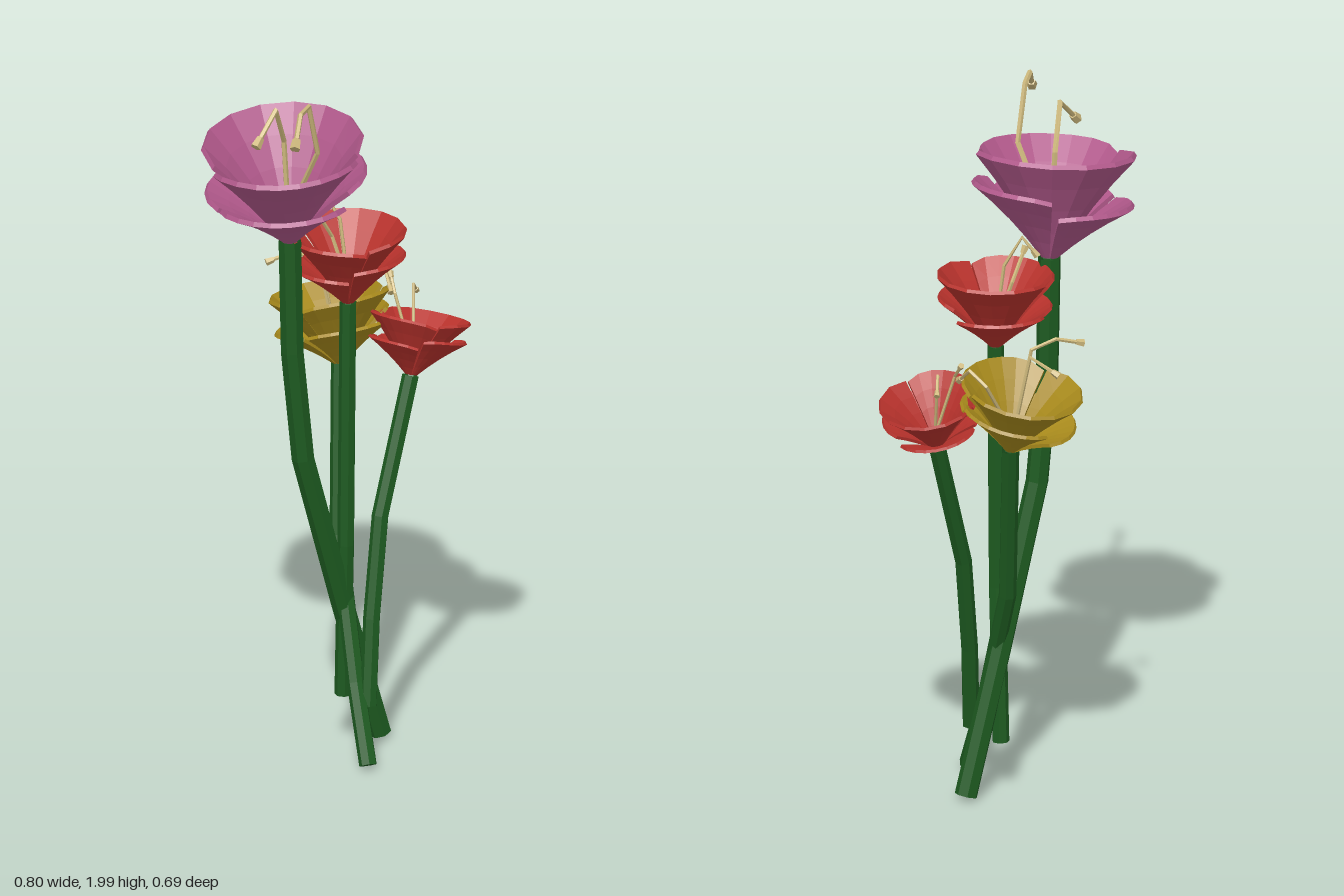
import * as THREE from 'three';

const mat = (color) => new THREE.MeshStandardMaterial({ color, flatShading: true, side: THREE.DoubleSide });
const GREEN = mat(0x1d5a20), CREAM = mat(0xcdb87c);
const RED = mat(0xb8322c), PINK = mat(0xb0588a), YELLOW = mat(0xa88a1c);
const UP = new THREE.Vector3(0, 1, 0);
const vec = (x, y, z) => new THREE.Vector3(x, y, z);

function add(parent, name, geometry, material) {
  const mesh = new THREE.Mesh(geometry, material);
  mesh.name = name;
  parent.add(mesh);
  return mesh;
}

// Faceted tube whose rings sit exactly on the given points
function rod(points, radius, sides) {
  const curve = new THREE.CatmullRomCurve3(points);
  curve.getPointAt = (u, target) => curve.getPoint(u, target);
  curve.getTangentAt = (u, target) => curve.getTangent(u, target);
  return new THREE.TubeGeometry(curve, points.length - 1, radius, sides, false);
}

// Fan-shaped petal: a thin sector of a flaring cone with rounded outer corners
function petalGeometry(azimuth, span, R, H) {
  const rows = 4, cols = 9, thick = 0.06 * R, pos = [], index = [];
  const section = [];
  for (let i = 0; i <= rows; i++) section.push([i / rows, 0]);
  for (let i = rows; i >= 0; i--) section.push([i / rows, thick]);
  for (let j = 0; j <= cols; j++) {
    const v = (j / cols) * 2 - 1, a = azimuth + (v * span) / 2;
    const reach = 1 - 0.08 * Math.pow(Math.abs(v), 5);
    for (const [t, lift] of section) {
      const s = t * reach;
      const r = R * (0.1 + 0.77 * s + 0.13 * s * s) - lift * 0.6;
      pos.push(Math.sin(a) * r, H * (1.1 * s - 0.1 * s * s) + lift * 0.8, Math.cos(a) * r);
    }
  }
  const n = section.length;
  for (let j = 0; j < cols; j++) {
    for (let i = 0; i < n - 1; i++) {
      const p = j * n + i, q = p + n;
      index.push(p, q, p + 1, q, q + 1, p + 1);
    }
  }
  // Side edges of the sheet
  for (const b of [0, cols * n]) {
    for (let i = 0; i < rows; i++) {
      const o = n - 1 - i;
      index.push(b + i, b + i + 1, b + o, b + i + 1, b + o - 1, b + o);
    }
  }
  const g = new THREE.BufferGeometry();
  g.setAttribute('position', new THREE.Float32BufferAttribute(pos, 3));
  g.setIndex(index);
  g.computeVertexNormals();
  return g;
}

// Bent filament with a small bud at its tip
function makeStamen(pts, size) {
  const stamen = new THREE.Group();
  stamen.name = 'stamen';
  add(stamen, 'filament', rod(pts, 0.0055 * size, 5), CREAM);
  const [before, tip] = pts.slice(-2);
  const bud = add(stamen, 'anther', new THREE.CylinderGeometry(0.011 * size, 0.008 * size, 0.022 * size, 5), CREAM);
  bud.position.copy(tip);
  bud.quaternion.setFromUnitVectors(UP, tip.clone().sub(before).normalize());
  return stamen;
}

// stem runs from the cut end to the bloom; each stamen lists its bends after the bloom's heart
function makeFlower(name, color, { stem, stemRadius, lean, R, H, turn, stamens }) {
  const flower = new THREE.Group();
  flower.name = name;
  add(flower, 'stem', rod(stem, stemRadius, 7), GREEN);
  const cut = add(flower, 'stemCut', new THREE.CircleGeometry(stemRadius, 7), GREEN);
  cut.position.copy(stem[0]);
  cut.quaternion.setFromUnitVectors(vec(0, 0, 1), stem[0].clone().sub(stem[1]).normalize());

  const head = new THREE.Group();
  head.name = 'bloom';
  head.position.copy(stem[stem.length - 1]);
  head.quaternion.setFromUnitVectors(UP, lean.normalize());
  add(head, 'receptacle', new THREE.ConeGeometry(stemRadius * 0.8, H * 0.3, 7), GREEN).position.y = H * 0.15;
  // A wide and a narrower upper petal that meet at a notch
  add(head, 'upperPetal', petalGeometry(turn, 3.8, R, H), color);
  add(head, 'upperPetal', petalGeometry(turn + Math.PI, 2.35, R * 1.02, H * 0.95), color);
  // Three shorter, flatter lower petals
  [0.52, 0.54, 0.68].forEach((rise, k) => {
    const a = turn + 0.9 + (k * Math.PI * 2) / 3;
    add(head, 'lowerPetal', petalGeometry(a, 2, R * 0.98, H * rise), color);
  });
  flower.add(head);

  const heart = head.position.clone().addScaledVector(lean, H * 0.25);
  for (const bends of stamens) flower.add(makeStamen([heart, ...bends], R / 0.165));
  return flower;
}

export function createModel() {
  const model = new THREE.Group();
  model.name = 'bouquet';

  model.add(makeFlower('pinkFlower', PINK, {
    stem: [vec(0.14, 0.015, 0), vec(0.02, 0.42, 0.02), vec(-0.108, 0.88, 0.04), vec(-0.14, 1.2, 0.04), vec(-0.147, 1.53, 0.04)],
    stemRadius: 0.032, lean: vec(-0.11, 1, 0.09), R: 0.232, H: 0.3, turn: 2.8,
    stamens: [
      [vec(-0.12, 1.83, 0.17), vec(-0.16, 1.985, 0.2), vec(-0.21, 1.99, 0.26), vec(-0.25, 1.93, 0.32)],
      [vec(-0.17, 1.83, 0.05), vec(-0.22, 1.95, 0.11), vec(-0.29, 1.88, 0.15)],
    ],
  }));

  model.add(makeFlower('tallRedFlower', RED, {
    stem: [vec(0.025, 0.15, 0.01), vec(0.025, 0.6, 0.03), vec(0.036, 1.31, 0.02)],
    stemRadius: 0.024, lean: vec(0, 1, 0), R: 0.163, H: 0.21, turn: 1.9,
    stamens: [
      [vec(0.02, 1.55, 0), vec(-0.02, 1.635, -0.03), vec(-0.05, 1.59, -0.05)],
      [vec(0, 1.5, -0.01), vec(-0.05, 1.58, 0.01)],
    ],
  }));

  model.add(makeFlower('yellowFlower', YELLOW, {
    stem: [vec(0.012, 0.015, 0.215), vec(0.02, 0.22, 0.11), vec(0.035, 0.6, -0.045), vec(0.08, 1.065, -0.14)],
    stemRadius: 0.025, lean: vec(-0.07, 1, -0.24), R: 0.17, H: 0.2, turn: 3.4,
    stamens: [
      [vec(0.03, 1.36, -0.17), vec(-0.03, 1.39, -0.2), vec(-0.1, 1.37, -0.21)],
      [vec(0.05, 1.35, -0.2), vec(0, 1.31, -0.25)],
      [vec(0.19, 1.29, -0.2), vec(0.22, 1.33, -0.16), vec(0.21, 1.28, -0.09)],
    ],
  }));

  model.add(makeFlower('lowRedFlower', RED, {
    stem: [vec(0.045, 0.16, 0.14), vec(0.07, 0.4, 0.105), vec(0.115, 0.68, 0.06), vec(0.232, 1.055, 0)],
    stemRadius: 0.024, lean: vec(0.28, 1, -0.18), R: 0.14, H: 0.165, turn: 1.9,
    stamens: [
      [vec(0.27, 1.295, -0.07), vec(0.295, 1.26, -0.11)],
      [vec(0.21, 1.28, -0.06), vec(0.215, 1.32, -0.1)],
    ],
  }));

  return model;
}
